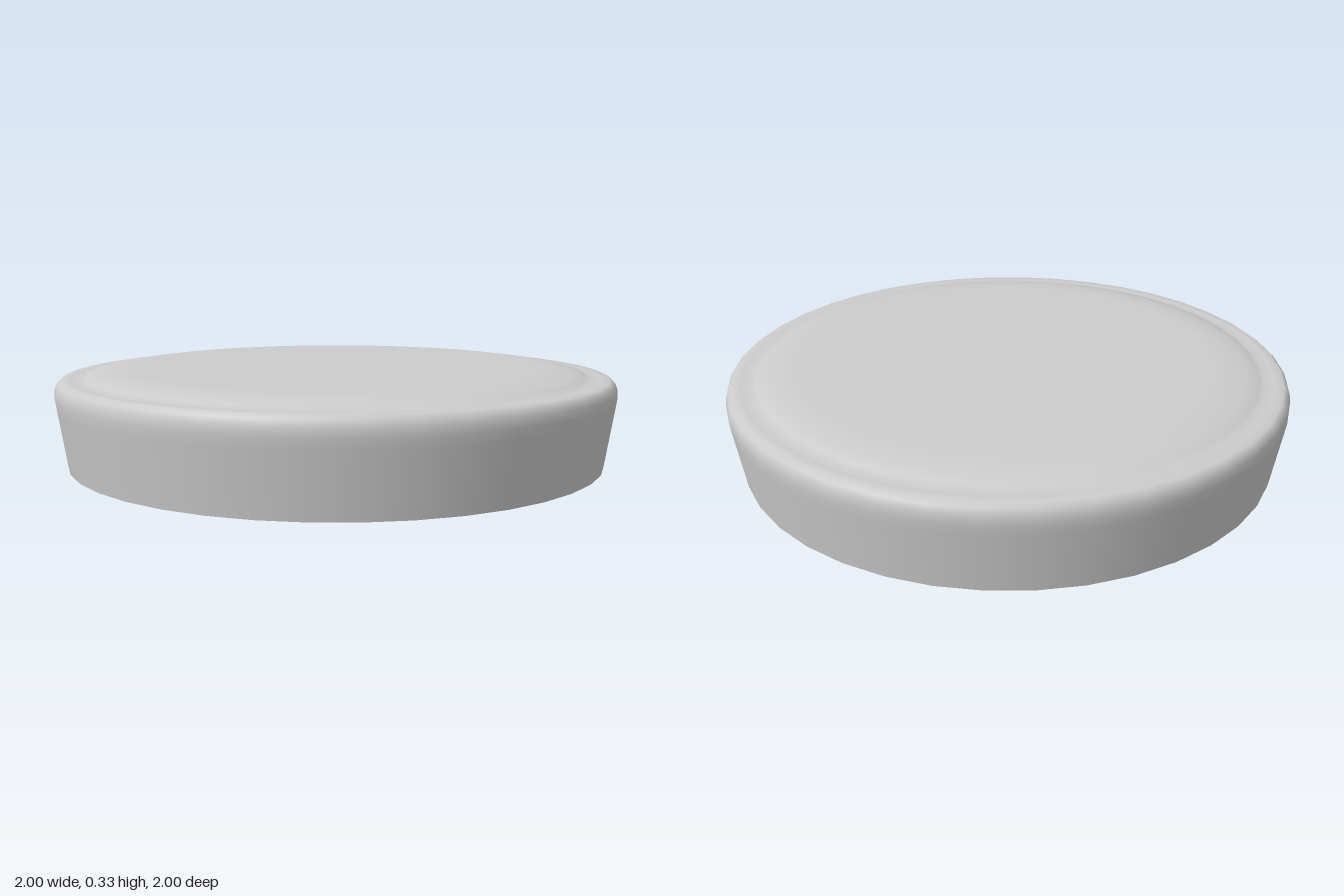
import * as THREE from 'three';

export function createModel() {
  const group = new THREE.Group();
  group.name = 'lid';

  const grey = new THREE.MeshStandardMaterial({ color: 0xcccccc, side: THREE.DoubleSide });
  grey.name = 'plain grey';

  // Thin shell, open below: tapered skirt, rounded shoulder, flat rim, raised panel
  const profile = [
    [0.963, 0], [0.995, 0.21], [1, 0.245], [0.998, 0.272], [0.99, 0.293], [0.975, 0.305],
    [0.945, 0.305], [0.905, 0.302],
    [0.895, 0.313], [0.85, 0.324], [0.79, 0.332], [0.74, 0.333], [0, 0.333],
  ].map(([r, y]) => new THREE.Vector2(r, y));

  const shell = new THREE.Mesh(new THREE.LatheGeometry(profile, 40), grey);
  shell.name = 'lidShell';
  group.add(shell);
  return group;
}
